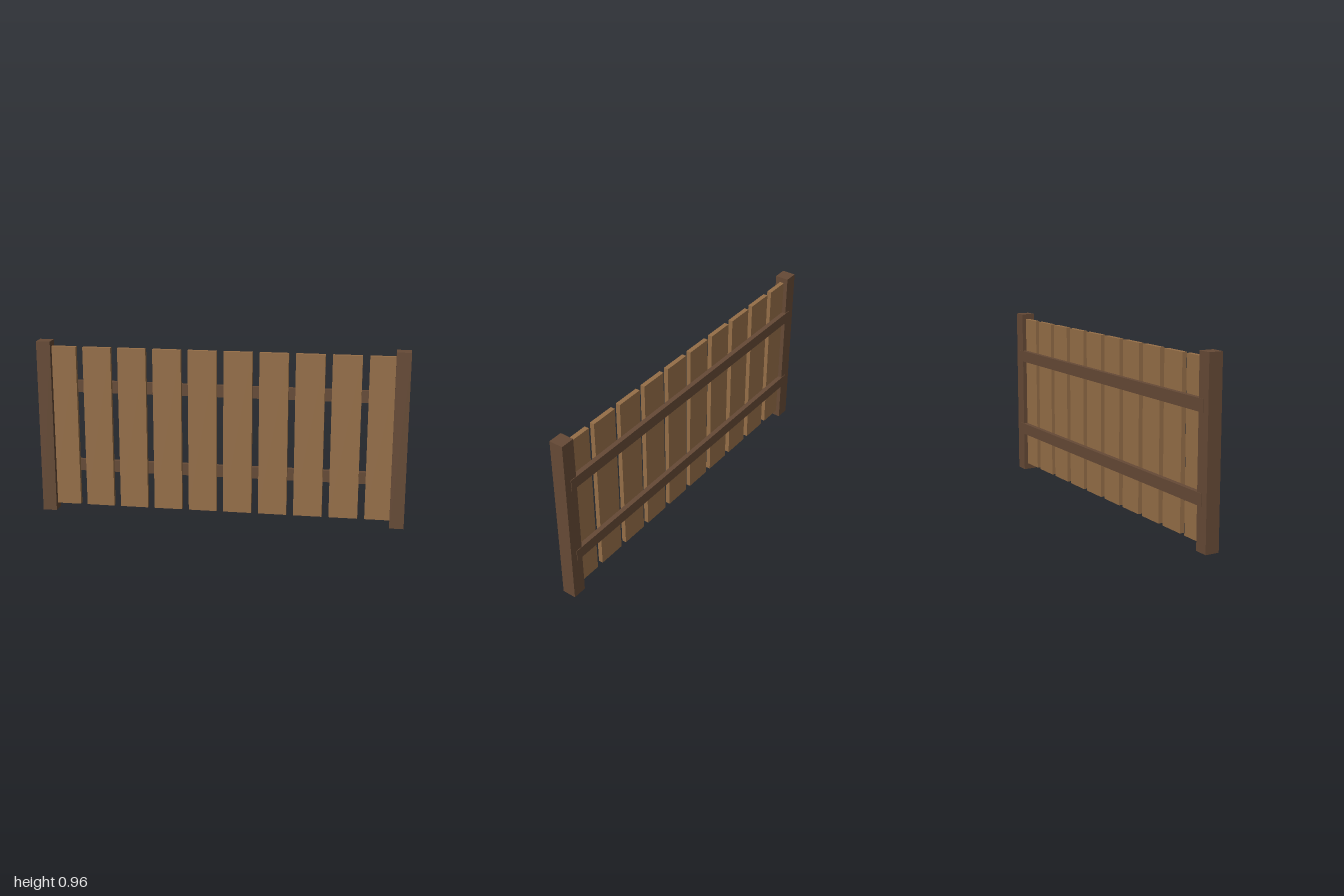
import * as THREE from 'three';

export function createModel() {
  const group = new THREE.Group();
  const darkWood = new THREE.MeshStandardMaterial({ color: 0x664a36 });
  darkWood.name = 'darkWood';
  const lightWood = new THREE.MeshStandardMaterial({ color: 0x966f48 });
  lightWood.name = 'lightWood';

  // Box given by its min and max along each axis
  function board(name, material, [x0, x1], [y0, y1], [z0, z1]) {
    const mesh = new THREE.Mesh(new THREE.BoxGeometry(x1 - x0, y1 - y0, z1 - z0), material);
    mesh.position.set((x0 + x1) / 2, (y0 + y1) / 2, (z0 + z1) / 2);
    mesh.name = name;
    group.add(mesh);
  }

  // End posts
  const postDepth = [-0.0365, 0.0395];
  board('rightPost', darkWood, [-1, -0.923], [0, 0.96], postDepth);
  board('leftPost', darkWood, [0.923, 1], [0, 0.96], postDepth);

  // Horizontal rails along the back, lapping the posts
  board('lowerRail', darkWood, [-0.962, 0.962], [0.226, 0.29], [-0.0395, -0.013]);
  board('upperRail', darkWood, [-0.962, 0.962], [0.675, 0.739], [-0.0395, -0.013]);

  // Ten upright planks, the outer two set into the posts
  const count = 10, pitch = 0.1925, halfWidth = 0.0775;
  for (let i = 0; i < count; i++) {
    const x = (i - (count - 1) / 2) * pitch;
    board(`plank${i + 1}`, lightWood, [x - halfWidth, x + halfWidth], [0.035, 0.93], [-0.0135, 0.0115]);
  }
  return group;
}
